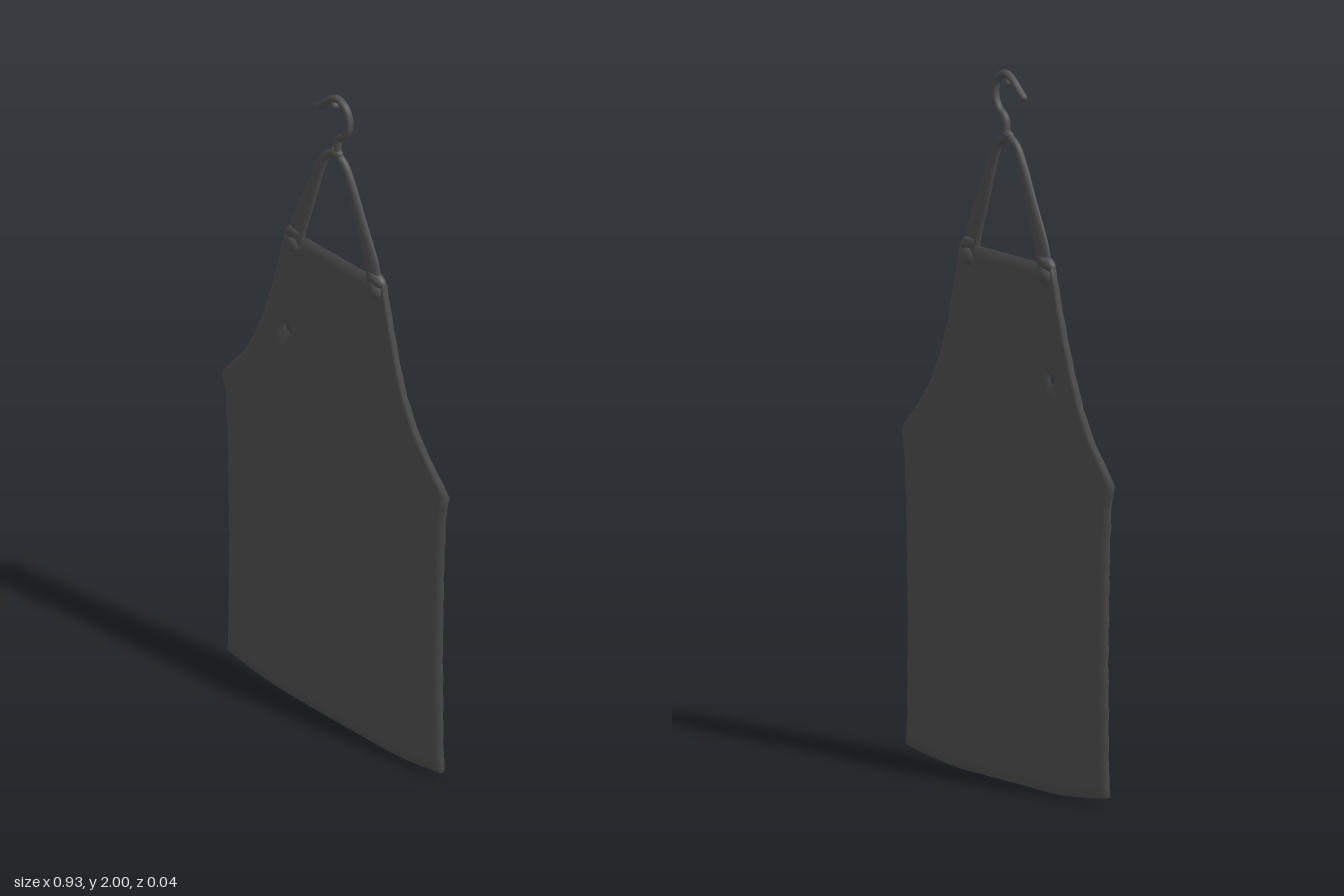
import * as THREE from 'three';

// Outline of the cloth: [height, half width]
const OUTLINE = [[0, 0.446], [0.05, 0.438], [0.39, 0.435], [0.7, 0.441], [0.86, 0.45], [0.91, 0.465], [0.97, 0.412],
  [1.03, 0.362], [1.09, 0.327], [1.15, 0.3], [1.21, 0.278], [1.275, 0.257], [1.39, 0.225], [1.48, 0.203]];

function halfWidth(y) {
  const i = Math.max(1, OUTLINE.findIndex((p) => p[0] >= y - 1e-6));
  const [y0, w0] = OUTLINE[i - 1], [y1, w1] = OUTLINE[i];
  return w0 + (w1 - w0) * (y - y0) / (y1 - y0);
}

// Soft vertical folds in the cloth, fading out at the hem and the bib
function fold(x, y) {
  const bump = (c, w, h) => h * Math.exp(-(((x - c) / w) ** 2));
  const fade = THREE.MathUtils.smoothstep(y, -0.1, 0.35) * (1 - THREE.MathUtils.smoothstep(y, 1.15, 1.5));
  return fade * (bump(0.02 + 0.13 * (y - 0.5), 0.08, 0.011) + bump(0.28, 0.07, 0.006) + bump(-0.3, 0.08, 0.004)) - 0.001;
}

// Two-sided cloth sheet with a round eyelet hole
function clothGeometry() {
  const cols = 36, lower = 30, upper = 18, rows = lower + upper, stride = cols + 1;
  const hole = { x: -0.195, y: 1.163, r: 0.018, col: 6, row: lower + 8 };
  const half = 0.007, count = stride * (rows + 1);
  const front = [], back = [], index = [], edges = new Map();
  for (let r = 0; r <= rows; r++) {
    const h = r <= lower ? 0.91 * r / lower : 0.91 + 0.57 * (r - lower) / upper;
    const w = halfWidth(h);
    for (let c = 0; c <= cols; c++) {
      let x = w * (2 * c / cols - 1), y = h;
      y += 0.028 * Math.max(0, (Math.abs(x) - 0.2) / 0.25) ** 1.5 * Math.max(0, 1 - h / 0.91);
      if (c === 0 || c === cols) x += 0.002 * Math.sin(h * 70 + c);
      // Pull the ring of points around the eyelet onto a circle
      const dc = c - hole.col, dr = r - hole.row;
      if (Math.max(Math.abs(dc), Math.abs(dr)) === 1) {
        const a = Math.atan2(dr, dc);
        x = hole.x + hole.r * Math.cos(a);
        y = hole.y + hole.r * Math.sin(a);
      }
      const z = fold(x, y);
      front.push(x, y, z + half);
      back.push(x, y, z - half);
    }
  }
  for (let r = 0; r < rows; r++) {
    for (let c = 0; c < cols; c++) {
      const inHole = (c === hole.col || c === hole.col - 1) && (r === hole.row || r === hole.row - 1);
      if (inHole) continue;
      const q = [r * stride + c, r * stride + c + 1, (r + 1) * stride + c + 1, (r + 1) * stride + c];
      index.push(q[0], q[1], q[2], q[0], q[2], q[3]);
      index.push(count + q[0], count + q[2], count + q[1], count + q[0], count + q[3], count + q[2]);
      q.forEach((a, i) => edges.set(a + '_' + q[(i + 1) % 4], [a, q[(i + 1) % 4]]));
    }
  }
  // Close every open border, outer rim and eyelet alike
  for (const [a, b] of edges.values()) {
    if (edges.has(b + '_' + a)) continue;
    index.push(a, count + a, count + b, a, count + b, b);
  }
  const g = new THREE.BufferGeometry();
  g.setAttribute('position', new THREE.Float32BufferAttribute(front.concat(back), 3));
  g.setIndex(index);
  g.computeVertexNormals();
  return g;
}

function curve(points) {
  return new THREE.CatmullRomCurve3(points.map(([x, y]) => new THREE.Vector3(x, y, 0)), false, 'centripetal');
}

// Oval band swept along a path in the xy plane; size(t) gives [half width, half depth]
function bandGeometry(path, size, steps, sides) {
  const pos = [], index = [];
  for (let i = 0; i <= steps; i++) {
    const t = i / steps, p = path.getPointAt(t), d = path.getTangentAt(t), [w, depth] = size(t);
    for (let j = 0; j < sides; j++) {
      const a = j / sides * Math.PI * 2, s = Math.cos(a) * w;
      pos.push(p.x - d.y * s, p.y + d.x * s, p.z + Math.sin(a) * depth);
    }
  }
  for (let i = 0; i < steps; i++) {
    for (let j = 0; j < sides; j++) {
      const k = (j + 1) % sides, a = i * sides + j, b = i * sides + k;
      index.push(a, b, b + sides, a, b + sides, a + sides);
    }
  }
  const g = new THREE.BufferGeometry();
  g.setAttribute('position', new THREE.Float32BufferAttribute(pos, 3));
  g.setIndex(index);
  g.computeVertexNormals();
  return g;
}

export function createModel() {
  const model = new THREE.Group();
  model.name = 'hangingApron';
  const charcoal = new THREE.MeshStandardMaterial({ color: 0x505050, side: THREE.DoubleSide });
  charcoal.name = 'charcoal';

  function add(name, geometry, x = 0, y = 0, z = 0) {
    const mesh = new THREE.Mesh(geometry, charcoal);
    mesh.name = name;
    mesh.position.set(x, y, z);
    model.add(mesh);
    return mesh;
  }

  add('apronCloth', clothGeometry());

  // Neck strap, narrow at the top of the arch and wide at the bib
  const strapPath = curve([[-0.163, 1.45], [-0.15, 1.52], [-0.105, 1.635], [-0.062, 1.745], [-0.035, 1.793],
    [0, 1.812], [0.035, 1.793], [0.062, 1.745], [0.105, 1.635], [0.15, 1.52], [0.163, 1.45]]);
  add('neckStrap', bandGeometry(strapPath, (t) => {
    const k = Math.abs(2 * t - 1);
    return [0.01 + 0.02 * Math.min(1, k * 1.25), 0.011];
  }, 72, 14));

  // Knots where the strap joins the bib
  for (const side of [-1, 1]) {
    const name = side > 0 ? 'left' : 'right';
    const wrap = add(name + 'StrapWrap', new THREE.SphereGeometry(1, 20, 14), side * 0.17, 1.486, 0);
    wrap.scale.set(0.037, 0.02, 0.017);
    wrap.rotation.z = side * -0.35;
    const knot = add(name + 'StrapKnot', new THREE.SphereGeometry(1, 20, 14), side * 0.17, 1.45, 0);
    knot.scale.set(0.027, 0.03, 0.019);
  }

  // Hanger hook with rounded ends
  const hookPath = curve([[0.008, 1.812], [0.012, 1.862], [0.042, 1.888], [0.057, 1.925], [0.05, 1.962],
    [0.03, 1.982], [0.006, 1.988], [-0.02, 1.975], [-0.045, 1.953], [-0.067, 1.934]]);
  add('hangerHook', new THREE.TubeGeometry(hookPath, 64, 0.011, 12));
  add('hookTip', new THREE.SphereGeometry(0.011, 12, 10), -0.067, 1.934, 0);
  add('hookNub', new THREE.SphereGeometry(0.013, 12, 10), -0.003, 1.965, 0);
  const base = add('hookBase', new THREE.SphereGeometry(1, 16, 12), 0.003, 1.815, 0);
  base.scale.set(0.024, 0.016, 0.014);

  return model;
}
